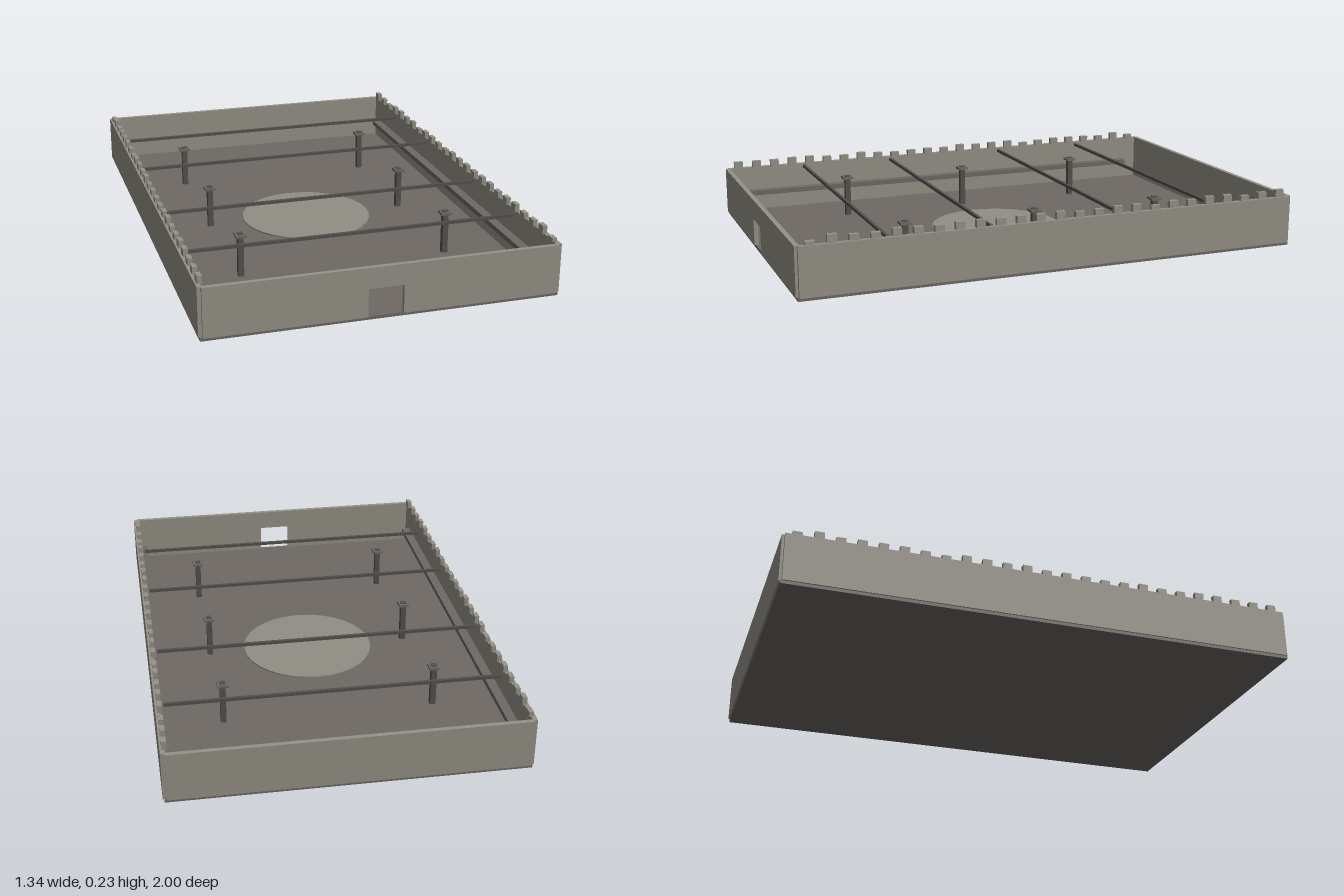
import * as THREE from 'three';

const mat = (color) => new THREE.MeshStandardMaterial({ color, flatShading: true });

export function createModel() {
  const group = new THREE.Group();
  const stone = mat(0x969288);
  const floorStone = mat(0x6e6965);
  const dark = mat(0x55514d);
  const pale = mat(0x918e84);

  const add = (name, geometry, material, x, y, z, parent = group) => {
    const mesh = new THREE.Mesh(geometry, material);
    mesh.name = name;
    mesh.position.set(x, y, z);
    parent.add(mesh);
    return mesh;
  };
  // Box given by its centre in x and z and its bottom and top heights
  const box = (name, material, x, z, w, d, y0, y1, parent) =>
    add(name, new THREE.BoxGeometry(w, y1 - y0, d), material, x, (y0 + y1) / 2, z, parent);

  // Floor slab and central disc
  box('floor', floorStone, 0, 0, 1.326, 1.988, 0, 0.012);
  add('centralDisc', new THREE.CylinderGeometry(0.265, 0.265, 0.006, 32), pale, 0, 0.014, 0);

  // Front wall with a doorway
  const wall = new THREE.Shape();
  wall.moveTo(-0.655, 0.012);
  wall.lineTo(-0.066, 0.012);
  wall.lineTo(-0.066, 0.12);
  wall.lineTo(0.066, 0.12);
  wall.lineTo(0.066, 0.012);
  wall.lineTo(0.655, 0.012);
  wall.lineTo(0.655, 0.2);
  wall.lineTo(-0.655, 0.2);
  wall.closePath();
  add('frontWall', new THREE.ExtrudeGeometry(wall, { depth: 0.018, bevelEnabled: false }), stone, 0, 0, 0.982);
  box('backWall', stone, 0, -0.991, 1.31, 0.018, 0.012, 0.2);

  // Seeded variation for the worn merlons
  let seed = 7;
  const rand = () => (seed = (seed * 16807) % 2147483647) / 2147483647;

  // Side walls, ledges, merlons and pillars
  for (const side of [1, -1]) {
    const label = side > 0 ? 'left' : 'right';
    box(label + 'Wall', stone, side * 0.66, 0, 0.018, 1.98, 0.012, 0.2);
    box(label + 'Ledge', floorStone, side * 0.633, -0.003, 0.036, 1.826, 0.08, 0.1);

    const merlons = new THREE.Group();
    merlons.name = label + 'Merlons';
    group.add(merlons);
    for (let i = 0; i < 25; i++) {
      const top = 0.213 + 0.018 * Math.sqrt(rand());
      box('merlon', stone, side * 0.653, 0.945 - i * 0.07875, 0.018, 0.036, 0.198, top, merlons);
    }

    for (const z of [-0.525, 0, 0.525]) {
      const pillar = new THREE.Group();
      pillar.name = label + 'Pillar';
      pillar.position.set(side * 0.408, 0, z);
      group.add(pillar);
      box('pillarShaft', dark, 0, 0, 0.022, 0.022, 0.012, 0.184, pillar);
      box('pillarCap', floorStone, 0, 0, 0.042, 0.042, 0.17, 0.18, pillar);
    }
  }

  // Cross beams
  for (const z of [-0.658, -0.263, 0.263, 0.658]) {
    box('crossBeam', dark, 0, z, 1.27, 0.011, 0.184, 0.196);
  }
  return group;
}
